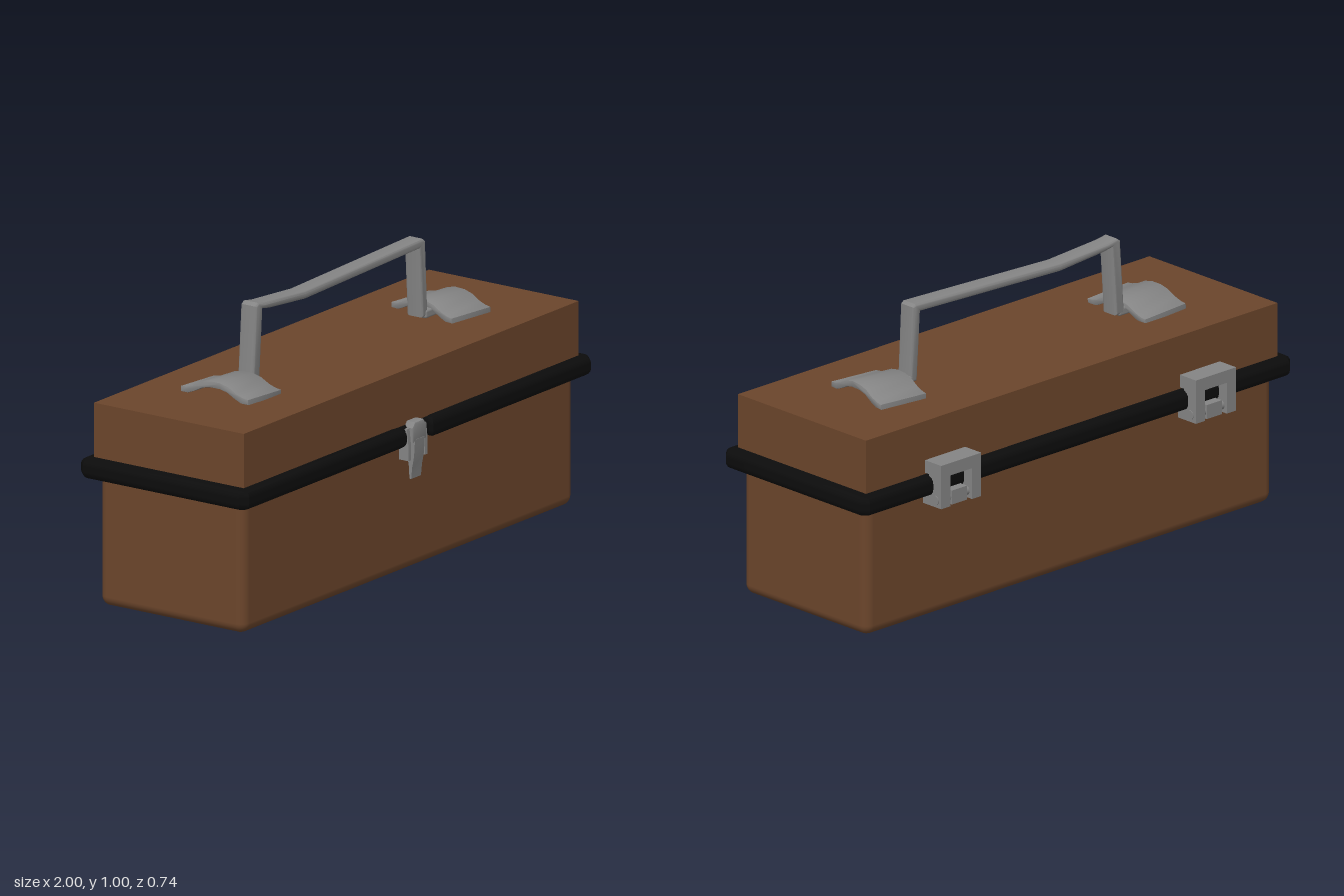
import * as THREE from 'three';
import { toCreasedNormals } from 'three/addons/utils/BufferGeometryUtils.js';
import { RoundedBoxGeometry } from 'three/addons/geometries/RoundedBoxGeometry.js';

const brown = new THREE.MeshStandardMaterial({ color: 0x6b452b });
brown.name = 'brown shell';
const black = new THREE.MeshStandardMaterial({ color: 0x0c0c0c });
black.name = 'black rim';
const grey = new THREE.MeshStandardMaterial({ color: 0x848484 });
grey.name = 'grey metal';

const MID_Z = 0.02; // centre of the box in depth

function add(parent, name, geometry, material, x = 0, y = 0, z = 0) {
  const mesh = new THREE.Mesh(geometry, material);
  mesh.name = name;
  mesh.position.set(x, y, z);
  parent.add(mesh);
  return mesh;
}

// Box given by its min and max corners
function block(parent, name, [x0, y0, z0], [x1, y1, z1], material = grey) {
  return add(parent, name, new THREE.BoxGeometry(x1 - x0, y1 - y0, z1 - z0), material,
    (x0 + x1) / 2, (y0 + y1) / 2, (z0 + z1) / 2);
}

// Extrusion centred on its depth; the bevel stays inside the outline
function slab(points, depth, bevel = 0, segments = 2) {
  const shape = new THREE.Shape(points.map(([x, y]) => new THREE.Vector2(x, y)));
  const geometry = new THREE.ExtrudeGeometry(shape, {
    depth: depth - 2 * bevel, bevelEnabled: bevel > 0, bevelSize: bevel,
    bevelThickness: bevel, bevelOffset: -bevel, bevelSegments: segments,
  });
  geometry.translate(0, 0, bevel - depth / 2);
  return geometry;
}

// Profile of [z, y] points, swept along x
function sideProfile(points, width, bevel = 0) {
  return toCreasedNormals(slab(points, width, bevel).rotateY(-Math.PI / 2), 0.7);
}

// Arched strap that holds one end of the handle
function strap(parent, name, x, turn, tilt) {
  const top = [[-0.14, 0.018], [-0.115, 0.022], [-0.09, 0.03], [-0.055, 0.048], [-0.02, 0.056],
    [0.02, 0.056], [0.055, 0.048], [0.09, 0.03], [0.115, 0.022], [0.14, 0.018]];
  const under = [[0.14, 0], [0.11, 0], [0.085, 0.01], [0.05, 0.028], [0.02, 0.034],
    [-0.02, 0.034], [-0.05, 0.028], [-0.085, 0.01], [-0.11, 0], [-0.14, 0]];
  const mesh = add(parent, name, sideProfile([...top, ...under], 0.19, 0.003), grey, x, 0.71, 0.015);
  mesh.rotation.set(0, turn, tilt);
}

// Back hinge: window frame, centre tongue and pin
function hinge(parent, name, x) {
  const group = new THREE.Group();
  group.name = name;
  group.position.x = x;
  parent.add(group);
  block(group, 'hingeTop', [-0.093, 0.525, -0.368], [0.093, 0.57, -0.285]);
  for (const s of [-1, 1]) {
    const a = s * 0.093, b = s * 0.05;
    block(group, 'hingeSide', [Math.min(a, b), 0.415, -0.368], [Math.max(a, b), 0.525, -0.31]);
    block(group, 'hingeSideFoot', [Math.min(a, b), 0.415, -0.31], [Math.max(a, b), 0.5, -0.275]);
  }
  block(group, 'hingeTongue', [-0.035, 0.415, -0.36], [0.035, 0.465, -0.275]);
  const pin = add(group, 'hingePin', new THREE.CylinderGeometry(0.017, 0.017, 0.192, 16), grey, 0, 0.44, -0.34);
  pin.rotation.z = Math.PI / 2;
}

export function createModel() {
  const model = new THREE.Group();
  model.name = 'toolbox';

  // Lower box and lid
  add(model, 'body', new RoundedBoxGeometry(1.89, 0.5, 0.6, 4, 0.035), brown, 0, 0.25, MID_Z);
  block(model, 'lid', [-0.955, 0.49, -0.29], [0.955, 0.71, 0.33], brown);

  // Rounded rim with a recess for the latch; shape y becomes z
  const c = 0.025, back = -0.33, front = 0.367;
  const rim = slab([
    [-1 + c, back], [1 - c, back], [1, back + c], [1, front - c], [1 - c, front],
    [0.075, front], [0.075, 0.347], [-0.075, 0.347], [-0.075, front],
    [-1 + c, front], [-1, front - c], [-1, back + c],
  ], 0.07, 0.026, 4);
  rim.rotateX(Math.PI / 2);
  add(model, 'rim', toCreasedNormals(rim, 0.6), black, 0, 0.485, 0);

  // Bent handle, skewed slightly across the lid
  const handle = slab([
    [-0.495, 0.722], [-0.455, 0.722], [-0.438, 0.97], [-0.4, 0.963], [-0.2, 0.946], [0.44, 0.967],
    [0.455, 0.722], [0.487, 0.722], [0.474, 0.988], [0.462, 0.997], [-0.2, 0.974],
    [-0.42, 0.989], [-0.463, 0.996], [-0.477, 0.986],
  ], 0.066, 0.009, 3);
  const p = handle.attributes.position;
  for (let i = 0; i < p.count; i++) p.setZ(i, p.getZ(i) + 0.008 + 0.013 * p.getX(i));
  add(model, 'handle', toCreasedNormals(handle, 0.6), grey);
  for (const s of [-1, 1]) {
    const lug = new RoundedBoxGeometry(0.09, 0.03, 0.07, 2, 0.008);
    add(model, 'handleLug', lug, grey, s * 0.515, 0.73, 0.01 + s * 0.006);
  }
  strap(model, 'rightStrap', -0.595, 0, -0.05);
  strap(model, 'leftStrap', 0.603, -0.13, 0);

  // Front latch: backplate, side cheeks, hook and lever
  block(model, 'latchPlate', [-0.035, 0.4, 0.315], [0.035, 0.51, 0.348]);
  for (const s of [-1, 1]) {
    const cheek = sideProfile([[0.32, 0.4], [0.358, 0.4], [0.358, 0.455], [0.352, 0.51], [0.32, 0.51]], 0.016);
    add(model, 'latchCheek', cheek, grey, s * 0.047, 0, 0);
  }
  const hook = slab([[-0.04, 0.46], [0.04, 0.46], [0.04, 0.512], [0.025, 0.53], [-0.025, 0.53], [-0.04, 0.512]],
    0.04, 0.006);
  add(model, 'latchHook', toCreasedNormals(hook, 0.5), grey, 0, 0, 0.345);
  add(model, 'latchLever', sideProfile([
    [0.335, 0.47], [0.334, 0.41], [0.34, 0.375], [0.343, 0.33], [0.35, 0.33], [0.354, 0.37],
    [0.362, 0.41], [0.366, 0.47],
  ], 0.056), grey);

  hinge(model, 'rightHinge', -0.595);
  hinge(model, 'leftHinge', 0.588);
  return model;
}
